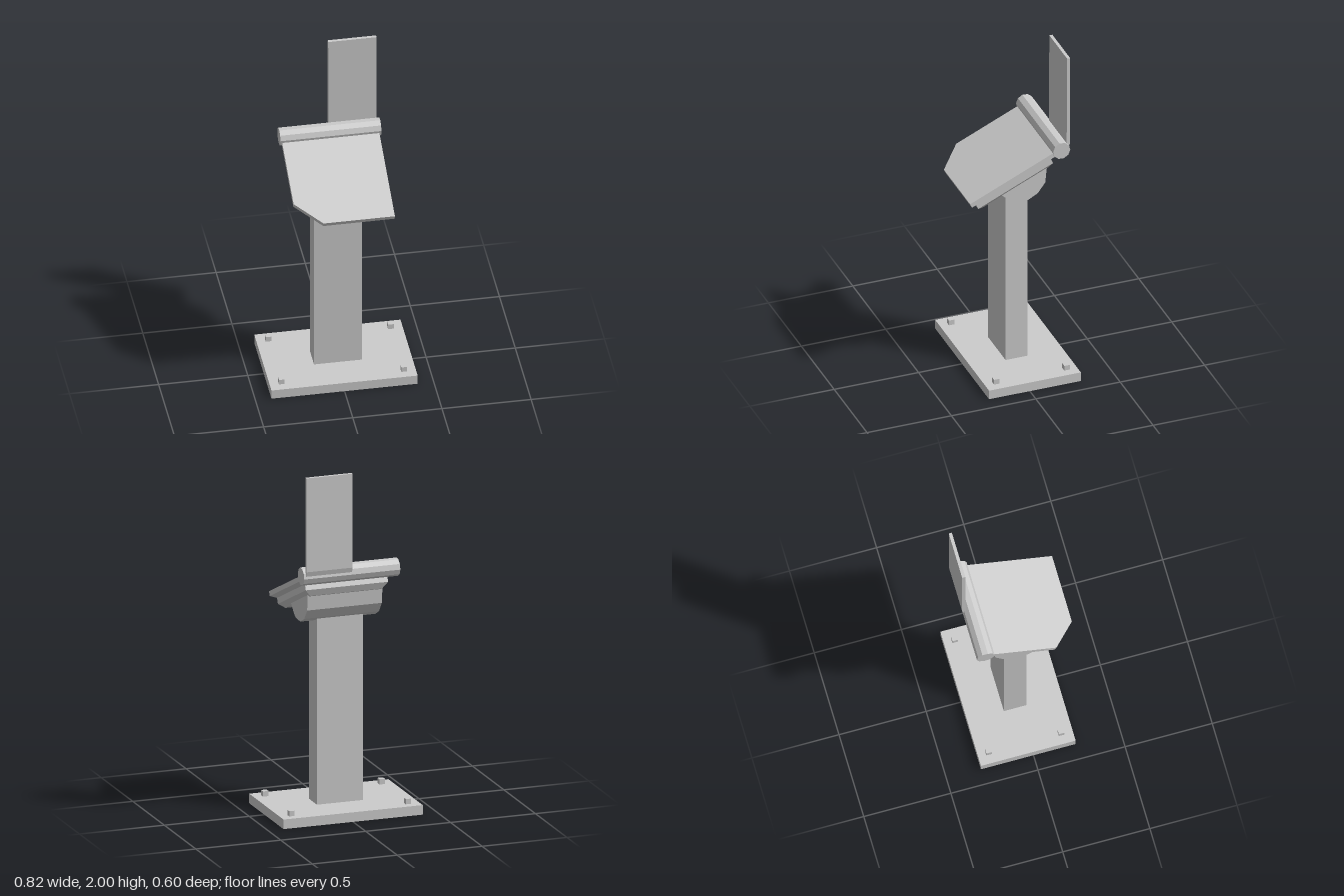
import * as THREE from 'three';

const material = new THREE.MeshStandardMaterial({ color: 0xcccccc, flatShading: true });

function add(parent, name, geometry) {
  const mesh = new THREE.Mesh(geometry, material);
  mesh.name = name;
  parent.add(mesh);
  return mesh;
}

// Box given by its limits on each axis
function block(x0, x1, y0, y1, z0, z1) {
  return new THREE.BoxGeometry(x1 - x0, y1 - y0, z1 - z0)
    .translate((x0 + x1) / 2, (y0 + y1) / 2, (z0 + z1) / 2);
}

// Side profile of [z, y] points swept along x
function sweepX(profile, x0, x1) {
  const shape = new THREE.Shape(profile.map(([z, y]) => new THREE.Vector2(-z, y)));
  return new THREE.ExtrudeGeometry(shape, { depth: x1 - x0, bevelEnabled: false })
    .rotateY(Math.PI / 2).translate(x0, 0, 0);
}

// Shrinks an [x, z] outline by moving every edge inward
function inset(outline, distance) {
  const n = outline.length;
  const inward = outline.map(([x, z], i) => {
    const [x2, z2] = outline[(i + 1) % n];
    const length = Math.hypot(x2 - x, z2 - z);
    return [(z2 - z) / length, (x - x2) / length];
  });
  return outline.map(([x, z], i) => {
    const a = inward[(i + n - 1) % n], b = inward[i];
    const k = distance / (1 + a[0] * b[0] + a[1] * b[1]);
    return [x + k * (a[0] + b[0]), z + k * (a[1] + b[1])];
  });
}

// Stacks inset copies of an outline from top to bottom; layers are [y, inset]
function steppedSlab(outline, layers) {
  const n = outline.length, last = (layers.length - 1) * n;
  const positions = [], index = [];
  for (const [y, d] of layers) {
    for (const [x, z] of inset(outline, d)) positions.push(x, y, z);
  }
  for (let r = 0; r < last; r += n) {
    for (let i = 0; i < n; i++) {
      const j = (i + 1) % n;
      const a = r + i, b = r + j, c = r + n + i, d = r + n + j;
      index.push(c, d, b, c, b, a);
    }
  }
  for (let i = 1; i < n - 1; i++) {
    index.push(0, i, i + 1, last, last + i + 1, last + i);
  }
  const indexed = new THREE.BufferGeometry();
  indexed.setAttribute('position', new THREE.Float32BufferAttribute(positions, 3));
  indexed.setIndex(index);
  const geometry = indexed.toNonIndexed();
  geometry.computeVertexNormals();
  return geometry;
}

export function createModel() {
  const model = new THREE.Group();
  model.name = 'kioskStand';

  // Floor plate with four square bolts
  add(model, 'basePlate', block(-0.41, 0.41, 0, 0.055, -0.302, 0.242));
  for (const x of [-0.343, 0.343]) {
    for (const z of [-0.24, 0.176]) {
      add(model, 'bolt', block(x - 0.016, x + 0.016, 0.05, 0.085, z - 0.016, z + 0.016));
    }
  }

  // Upright post
  add(model, 'post', block(-0.135, 0.135, 0.05, 1.15, -0.092, 0.037));

  // Rounded bracket under the sloping head
  add(model, 'headBracket', sweepX([
    [0.1, 1.18], [0.03, 1.115], [0, 1.108], [-0.06, 1.108],
    [-0.12, 1.14], [-0.165, 1.2], [-0.175, 1.3],
  ], -0.22, 0.22));

  // Sloping head with one cut corner and stepped, bevelled edges
  const outline = [
    [-0.273, -0.76], [-0.273, -0.356], [-0.128, -0.214], [0.272, -0.214], [0.272, -0.76],
  ];
  const head = add(model, 'slopingHead', steppedSlab(outline, [
    [1.208, 0], [1.181, 0], [1.163, 0.03], [1.129, 0.03], [1.099, 0.06],
  ]));
  head.rotation.x = 0.4225;

  // Ten-sided roll along the head's upper edge
  const roll = Array.from({ length: 10 }, (_, i) => {
    const angle = THREE.MathUtils.degToRad(4 + 36 * i);
    return [-0.238 + 0.051 * Math.cos(angle), 1.422 + 0.051 * Math.sin(angle)];
  });
  add(model, 'topRoll', sweepX(roll, -0.283, 0.283));

  // Tall thin back panel on the left half
  add(model, 'backPanel', sweepX([
    [-0.293, 2], [-0.275, 2], [-0.272, 1.43], [-0.282, 1.42], [-0.293, 1.46],
  ], 0, 0.271));

  return model;
}
